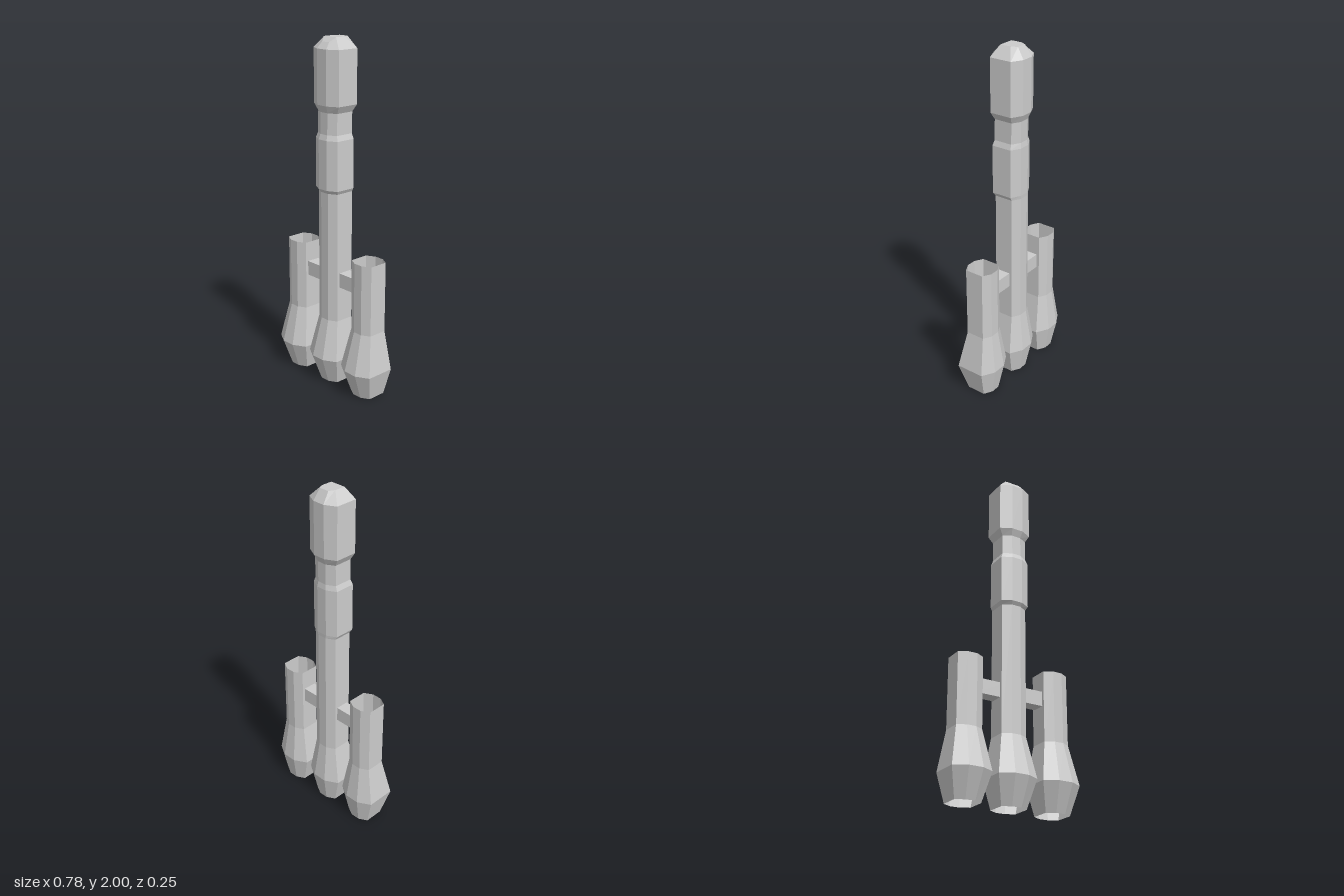
import * as THREE from 'three';

const material = new THREE.MeshStandardMaterial({ color: 0xcccccc, flatShading: true, side: THREE.DoubleSide });

// Eight-sided ring: height, half width, half depth, centre z
function ring([y, hx, hz, cz]) {
  const fx = hx * 0.36, fz = hz * 0.67;
  return [[hx, -fz], [hx, fz], [fx, hz], [-fx, hz], [-hx, fz], [-hx, -fz], [-fx, -hz], [fx, -hz]]
    .map(([x, z]) => [x, y, z + cz]);
}

// Skin a stack of rings; the top may be closed with a fan
function loft(rings, closeTop) {
  const index = [], n = 8;
  for (let r = 0; r < rings.length - 1; r++) {
    for (let i = 0; i < n; i++) {
      const a = r * n + i, b = r * n + (i + 1) % n;
      index.push(a, a + n, b, b, a + n, b + n);
    }
  }
  if (closeTop) {
    const top = (rings.length - 1) * n;
    for (let k = 1; k < n - 1; k++) {
      index.push(top + 4, top + (4 - k + n) % n, top + (3 - k + n) % n);
    }
  }
  const g = new THREE.BufferGeometry();
  g.setAttribute('position', new THREE.Float32BufferAttribute(rings.flat(2), 3));
  g.setIndex(index);
  const flat = g.toNonIndexed();
  flat.computeVertexNormals();
  return flat;
}

export function createModel() {
  const group = new THREE.Group();
  const add = (name, geometry, x = 0, y = 0, z = 0) => {
    const mesh = new THREE.Mesh(geometry, material);
    mesh.name = name;
    mesh.position.set(x, y, z);
    group.add(mesh);
  };

  // Flared foot shared by all three tubes
  const foot = [[0, 0.077, 0.082, -0.014], [0.16, 0.117, 0.126, -0.001], [0.39, 0.077, 0.082, -0.014]];

  // Central shaft with collar and thick head
  const shaft = [
    ...foot,
    [1.15, 0.077, 0.082, -0.014], [1.17, 0.088, 0.089, -0.008],
    [1.45, 0.088, 0.089, -0.008], [1.48, 0.077, 0.082, -0.010],
    [1.6, 0.077, 0.082, -0.012], [1.64, 0.1, 0.099, -0.013], [1.94, 0.1, 0.099, -0.013],
  ].map(ring);
  // Bevelled crown, its front edge dipping lower
  const crown = [[0.047, 2, -0.04], [0.047, 2, 0.025], [0.028, 1.975, 0.057], [-0.028, 1.975, 0.057],
    [-0.047, 2, 0.025], [-0.047, 2, -0.04], [-0.03, 2, -0.073], [0.03, 2, -0.073]];
  add('centralShaft', loft([...shaft, crown], true));

  // Open side tubes and the struts that hold them
  const tube = loft([...foot, [0.8, 0.077, 0.082, -0.014]].map(ring), false);
  for (const [side, s] of [['left', 1], ['right', -1]]) {
    add(side + 'Tube', tube, s * 0.271);
    add(side + 'Strut', new THREE.BoxGeometry(0.18, 0.085, 0.078), s * 0.13, 0.64, -0.014);
  }
  return group;
}
